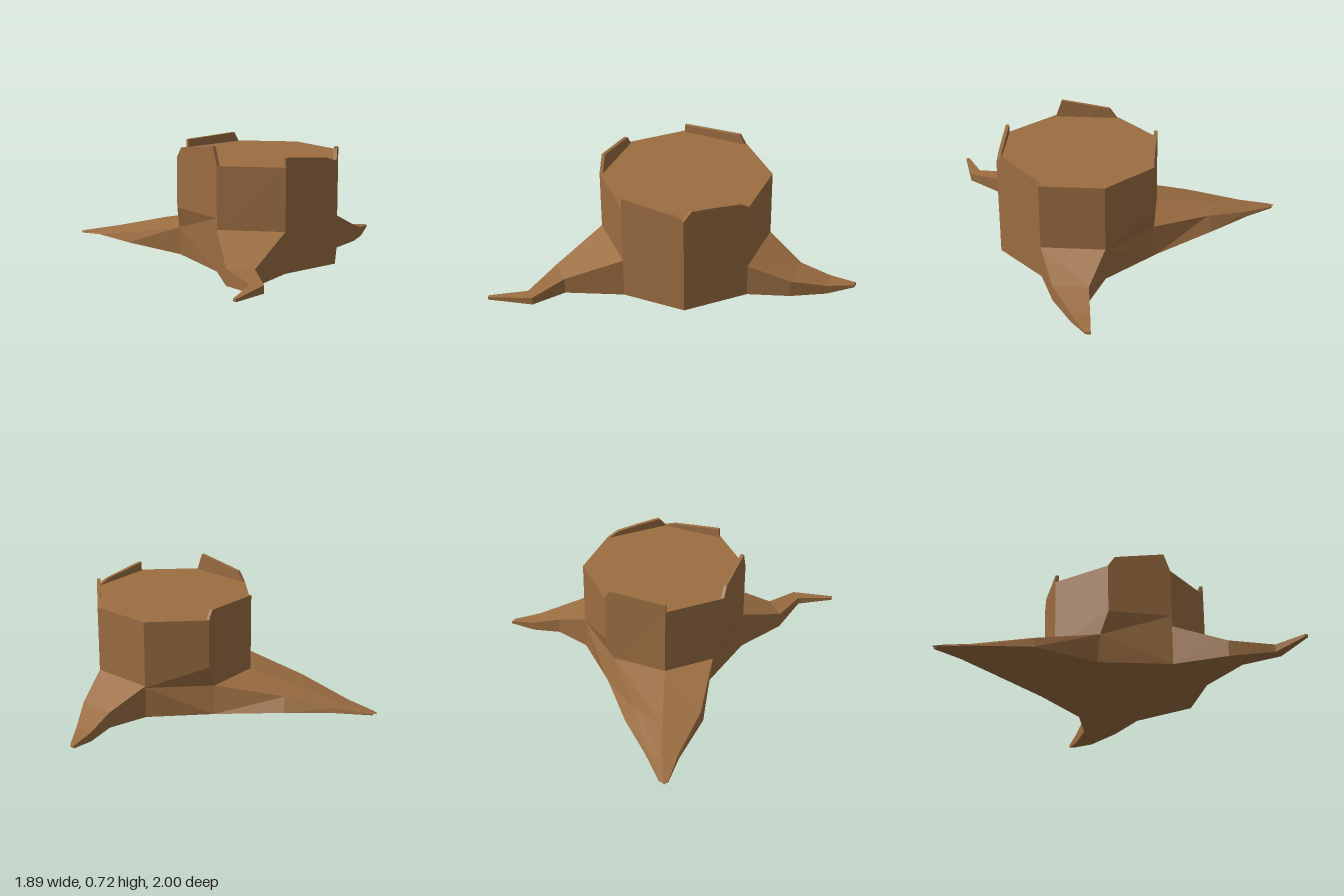
import * as THREE from 'three';

// Flat-shaded mesh from convex polygons (corners counter-clockwise from outside)
function facetMesh(name, polygons, material) {
  const pos = [];
  for (const p of polygons) {
    for (let i = 1; i < p.length - 1; i++) pos.push(...p[0], ...p[i], ...p[i + 1]);
  }
  const geo = new THREE.BufferGeometry();
  geo.setAttribute('position', new THREE.Float32BufferAttribute(pos, 3));
  geo.computeVertexNormals();
  const mesh = new THREE.Mesh(geo, material);
  mesh.name = name;
  return mesh;
}

// Root skin through matching cross-sections, from the trunk out to a capped tip
function loft(sections) {
  const faces = [];
  for (let k = 0; k < sections.length - 1; k++) {
    const s = sections[k], n = sections[k + 1];
    for (let i = 0; i < s.length; i++) {
      const j = (i + 1) % s.length;
      faces.push([s[i], n[i], n[j], s[j]]);
    }
  }
  faces.push([...sections[sections.length - 1]].reverse());
  return faces;
}

export function createModel() {
  const group = new THREE.Group();
  const wood = new THREE.MeshStandardMaterial({ color: 0x9c6e42 });
  wood.name = 'brown wood';
  const add = (name, faces) => group.add(facetMesh(name, faces, wood));

  // Irregular eight-sided trunk, corners as x, z
  const plan = {
    A: [-0.18, 0.09], B: [0.02, 0.40], C: [0.38, 0.48], D: [0.70, 0.28],
    E: [0.78, -0.08], F: [0.57, -0.40], G: [0.21, -0.48], H: [-0.10, -0.28],
  };
  const TOP = 0.62, BASE = 0.03;
  const at = (k, y) => [plan[k][0], y, plan[k][1]];

  // Points where the wide root tucks in under the trunk
  const P = [-0.01, 0.2, 0.35], Pb = [-0.02, 0.035, 0.33];
  const Q = [-0.11, 0.2, -0.23], Qb = [-0.12, 0.035, -0.27];

  const wall = (a, b, lowA, lowB) => [at(a, lowA), at(b, lowB), at(b, TOP), at(a, TOP)];
  add('trunk', [
    [at('A', 0.2), P, at('B', 0.33), at('B', TOP), at('A', TOP)],
    wall('B', 'C', 0.33, 0.33),
    [P, at('C', 0.33), at('B', 0.33)],
    [P, Pb, at('C', BASE), at('C', 0.33)],
    wall('C', 'D', 0.265, 0.265),
    wall('D', 'E', BASE, BASE),
    wall('E', 'F', BASE, BASE),
    wall('F', 'G', 0.225, 0.225),
    wall('G', 'H', 0.215, 0.33),
    [at('G', 0.215), Q, at('H', 0.33)],
    [at('G', 0.215), at('G', BASE), Qb, Q],
    [at('A', TOP), at('H', TOP), at('H', 0.33), Q, at('A', 0.2)],
  ]);
  add('cutTop', [Object.keys(plan).map((k) => at(k, TOP))]);
  add('underside', [[Qb, ...['G', 'F', 'E', 'D', 'C'].map((k) => at(k, BASE)), Pb]]);

  // Three roots
  add('wideRoot', loft([
    [Qb, Q, at('A', 0.2), P, Pb],
    [[-0.49, 0.05, -0.09], [-0.47, 0.13, -0.04], [-0.56, 0.11, 0.14], [-0.41, 0.11, 0.34], [-0.41, 0.05, 0.355]],
    [[-0.74, 0.035, 0.075], [-0.74, 0.062, 0.09], [-0.78, 0.055, 0.18], [-0.74, 0.05, 0.26], [-0.74, 0.035, 0.27]],
    [[-0.93, 0.015, 0.19], [-0.93, 0.022, 0.19], [-0.95, 0.018, 0.22], [-0.92, 0.02, 0.24], [-0.92, 0.013, 0.24]],
  ]));
  add('frontRoot', loft([
    [at('C', BASE), at('C', 0.265), at('D', 0.265), at('D', BASE)],
    [[0.62, 0.035, 0.69], [0.62, 0.13, 0.69], [0.75, 0.13, 0.61], [0.75, 0.035, 0.61]],
    [[0.86, 0.06, 0.79], [0.86, 0.105, 0.79], [0.92, 0.105, 0.75], [0.92, 0.06, 0.75]],
    [[0.92, 0.075, 1], [0.92, 0.09, 1], [0.94, 0.09, 1], [0.94, 0.075, 1]],
  ]));
  add('backRoot', loft([
    [at('F', BASE), at('F', 0.225), at('G', 0.225), at('G', BASE)],
    [[0.53, 0.02, -0.64], [0.53, 0.12, -0.64], [0.33, 0.115, -0.68], [0.33, 0.02, -0.68]],
    [[0.45, 0.005, -0.84], [0.45, 0.06, -0.84], [0.345, 0.06, -0.85], [0.345, 0.005, -0.85]],
    [[0.39, 0.025, -0.99], [0.39, 0.04, -0.99], [0.36, 0.04, -1], [0.36, 0.025, -1]],
  ]));

  // Thin bark splinters on the rim; outline as fraction along the edge and height
  function splinter(name, a, b, outline) {
    const [ax, az] = plan[a], dx = plan[b][0] - ax, dz = plan[b][1] - az;
    const len = Math.hypot(dx, dz), thick = 0.02;
    const outer = outline.map(([t, y]) => [ax + dx * t, y, az + dz * t]);
    const inner = outer.map(([x, y, z]) => [x + dz / len * thick, y, z - dx / len * thick]);
    const faces = [outer, [...inner].reverse()];
    outer.forEach((p, i) => {
      const j = (i + 1) % outer.length;
      faces.push([p, inner[i], inner[j], outer[j]]);
    });
    add(name, faces);
  }
  splinter('frontSplinter', 'B', 'C', [[0, TOP], [1, TOP], [0.9, 0.725], [0.11, 0.68]]);
  splinter('leftFrontSplinter', 'D', 'E', [[0, TOP], [1, TOP], [0.8, 0.645], [0, 0.675]]);
  splinter('leftBackSplinter', 'E', 'F', [[0, TOP], [1, TOP], [0.85, 0.65], [0.5, 0.665], [0.12, 0.675]]);
  splinter('rightSplinter', 'H', 'A', [[0, TOP], [1, TOP], [1, 0.665], [0.08, 0.675]]);

  return group;
}
